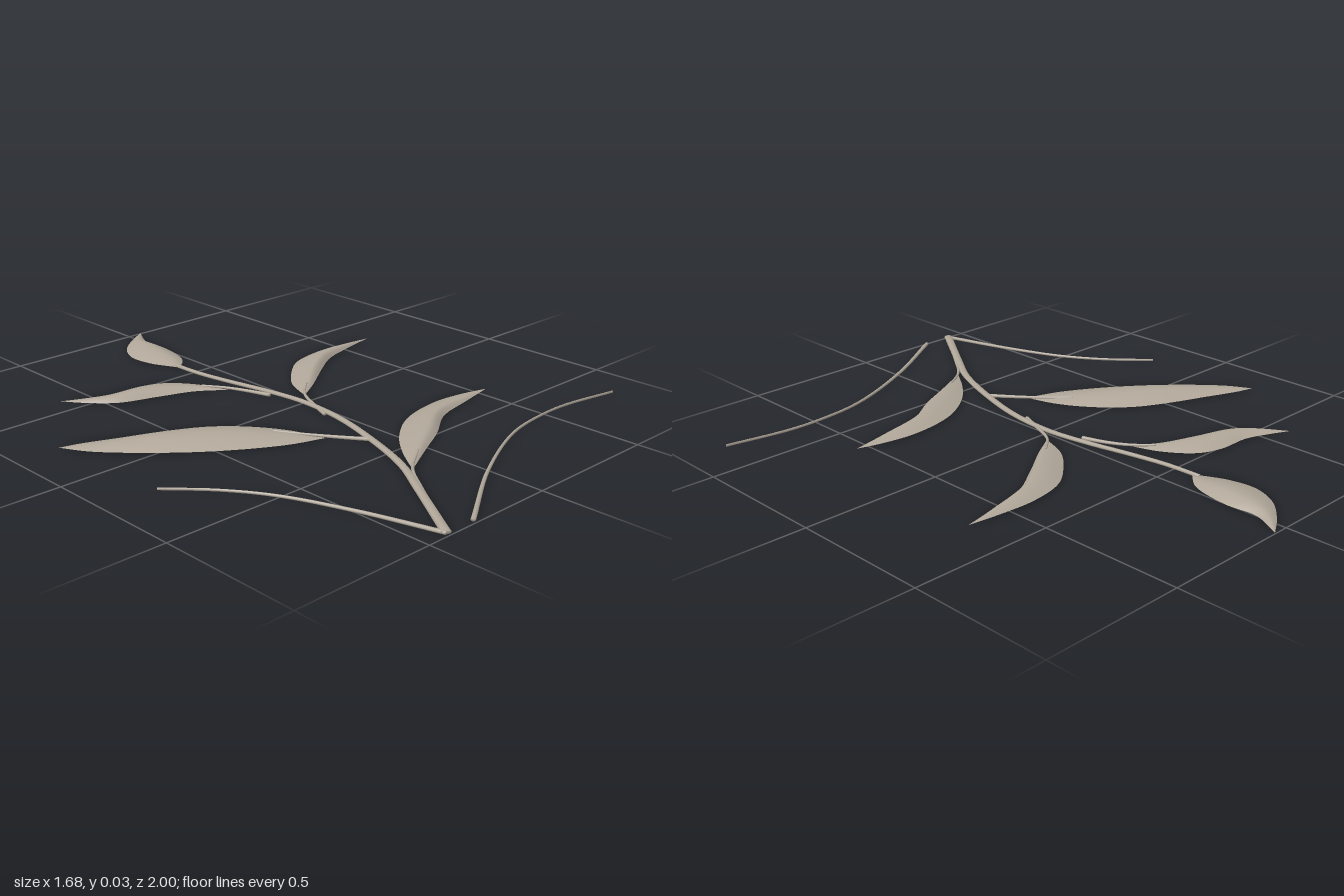
import * as THREE from 'three';

const olive = new THREE.MeshStandardMaterial({ color: 0xb1a79a, side: THREE.DoubleSide });
olive.name = 'dryOlive';

// smooth curve on the ground plane through [x, z] points
const curve = (pts) => new THREE.CatmullRomCurve3(pts.map(([x, z]) => new THREE.Vector3(x, 0, z)));

// surface grid: point(u, v) with u across and v along
function sheet(nu, nv, point, closed = false) {
  const pos = [], idx = [];
  const cols = closed ? nu : nu + 1;
  for (let j = 0; j <= nv; j++)
    for (let i = 0; i < cols; i++) pos.push(...point(i / nu, j / nv).toArray());
  for (let j = 0; j < nv; j++)
    for (let i = 0; i < nu; i++) {
      const a = j * cols + i, b = j * cols + ((i + 1) % cols), c = a + cols, d = b + cols;
      idx.push(a, b, c, b, d, c);
    }
  const g = new THREE.BufferGeometry();
  g.setAttribute('position', new THREE.Float32BufferAttribute(pos, 3));
  g.setIndex(idx);
  g.computeVertexNormals();
  return g;
}

// domed blade between a left and a right edge; crest says where its ridge runs
function leaf(name, base, tip, left, right, height, crest) {
  const a = curve([base, ...left, tip]), b = curve([base, ...right, tip]);
  const g = sheet(16, 32, (u, v) => {
    const p = a.getPointAt(v).lerp(b.getPointAt(v), u);
    const s = u < crest ? u / crest : (1 - u) / (1 - crest);
    p.y = 0.003 + height * Math.sin(Math.PI * v) ** 1.2 * Math.sin(s * Math.PI / 2);
    return p;
  });
  const m = new THREE.Mesh(g, olive);
  m.name = name;
  return m;
}

// tapered stalk with an oval section and blunt closed ends; rise lifts its tip
function stalk(name, pts, w0, w1, h0, h1, rise = 0) {
  const c = curve(pts);
  const g = sheet(8, 42, (u, row) => {
    const v = THREE.MathUtils.clamp((row * 42 - 1) / 40, 0, 1);
    const p = c.getPointAt(v), t = c.getTangentAt(v);
    const end = row === 0 || row === 1 ? 0 : 1;
    const w = THREE.MathUtils.lerp(w0, w1, v) / 2 * end;
    const h = THREE.MathUtils.lerp(h0, h1, v) / 2;
    const k = -u * Math.PI * 2;
    p.x -= t.z * w * Math.cos(k);
    p.z += t.x * w * Math.cos(k);
    p.y = h + h * end * Math.sin(k) + rise * v * v;
    return p;
  }, true);
  const m = new THREE.Mesh(g, olive);
  m.name = name;
  return m;
}

export function createModel() {
  const sprig = new THREE.Group();
  sprig.name = 'leafySprig';

  // main stem and the twigs that carry the leaves
  sprig.add(
    stalk('mainStem', [[-0.42, 0.99], [-0.26, 0.745], [-0.17, 0.6], [-0.09, 0.4], [-0.03, 0.19],
      [-0.012, 0], [-0.03, -0.16], [-0.065, -0.34], [-0.085, -0.47], [-0.09, -0.6]], 0.032, 0.016, 0.015, 0.012),
    stalk('lowerRightTwig', [[-0.34, 0.88], [-0.25, 0.75], [-0.165, 0.64], [-0.05, 0.56]], 0.014, 0.008, 0.013, 0.008, 0.006),
    stalk('largeLeftTwig', [[-0.09, 0.39], [-0.18, 0.27], [-0.28, 0.14]], 0.017, 0.006, 0.013, 0.008, 0.011),
    stalk('upperRightTwig', [[-0.04, 0.135], [-0.01, 0.06], [0.04, -0.045], [0.11, -0.11]], 0.014, 0.008, 0.013, 0.008, 0.008),
    stalk('upperLeftTwig', [[-0.05, -0.125], [-0.08, -0.21], [-0.115, -0.28], [-0.17, -0.35]], 0.017, 0.008, 0.013, 0.008, 0.008),
  );

  // leaves
  sprig.add(
    leaf('topLeaf', [-0.09, -0.57], [0.055, -1],
      [[-0.14, -0.68], [-0.15, -0.78], [-0.11, -0.87], [-0.03, -0.945]],
      [[-0.025, -0.64], [0.008, -0.78], [0.003, -0.89], [0.025, -0.945]], 0.021, 0.6),
    leaf('upperLeftLeaf', [-0.115, -0.27], [-0.605, -0.585],
      [[-0.21, -0.34], [-0.33, -0.385], [-0.47, -0.435], [-0.55, -0.51]],
      [[-0.16, -0.39], [-0.235, -0.48], [-0.32, -0.512], [-0.445, -0.518], [-0.53, -0.55]], 0.021, 0.35),
    leaf('largeLeftLeaf', [-0.18, 0.28], [-0.84, -0.245],
      [[-0.31, 0.235], [-0.5, 0.12], [-0.655, -0.01], [-0.79, -0.155]],
      [[-0.215, 0.16], [-0.285, 0.045], [-0.38, -0.05], [-0.485, -0.11], [-0.655, -0.18], [-0.78, -0.23]], 0.026, 0.5),
    leaf('upperRightLeaf', [0.04, -0.045], [0.655, -0.33],
      [[0.085, -0.155], [0.165, -0.245], [0.265, -0.32], [0.4, -0.35], [0.535, -0.345]],
      [[0.14, -0.105], [0.27, -0.195], [0.385, -0.265], [0.535, -0.305]], 0.021, 0.75),
    leaf('lowerRightLeaf', [-0.165, 0.64], [0.545, 0.35],
      [[-0.085, 0.525], [0.005, 0.43], [0.14, 0.345], [0.32, 0.31], [0.455, 0.325]],
      [[-0.02, 0.565], [0.11, 0.5], [0.245, 0.415], [0.4, 0.38]], 0.021, 0.75),
  );

  // thin loose blades beside the stem
  sprig.add(
    stalk('leftTendril', [[-0.42, 0.99], [-0.5, 0.72], [-0.59, 0.495], [-0.685, 0.35], [-0.81, 0.215]], 0.018, 0.004, 0.012, 0.009),
    stalk('rightTendril', [[-0.305, 0.99], [0, 0.8], [0.295, 0.67], [0.48, 0.64], [0.615, 0.64], [0.84, 0.678]], 0.016, 0.002, 0.012, 0.009),
  );
  return sprig;
}
